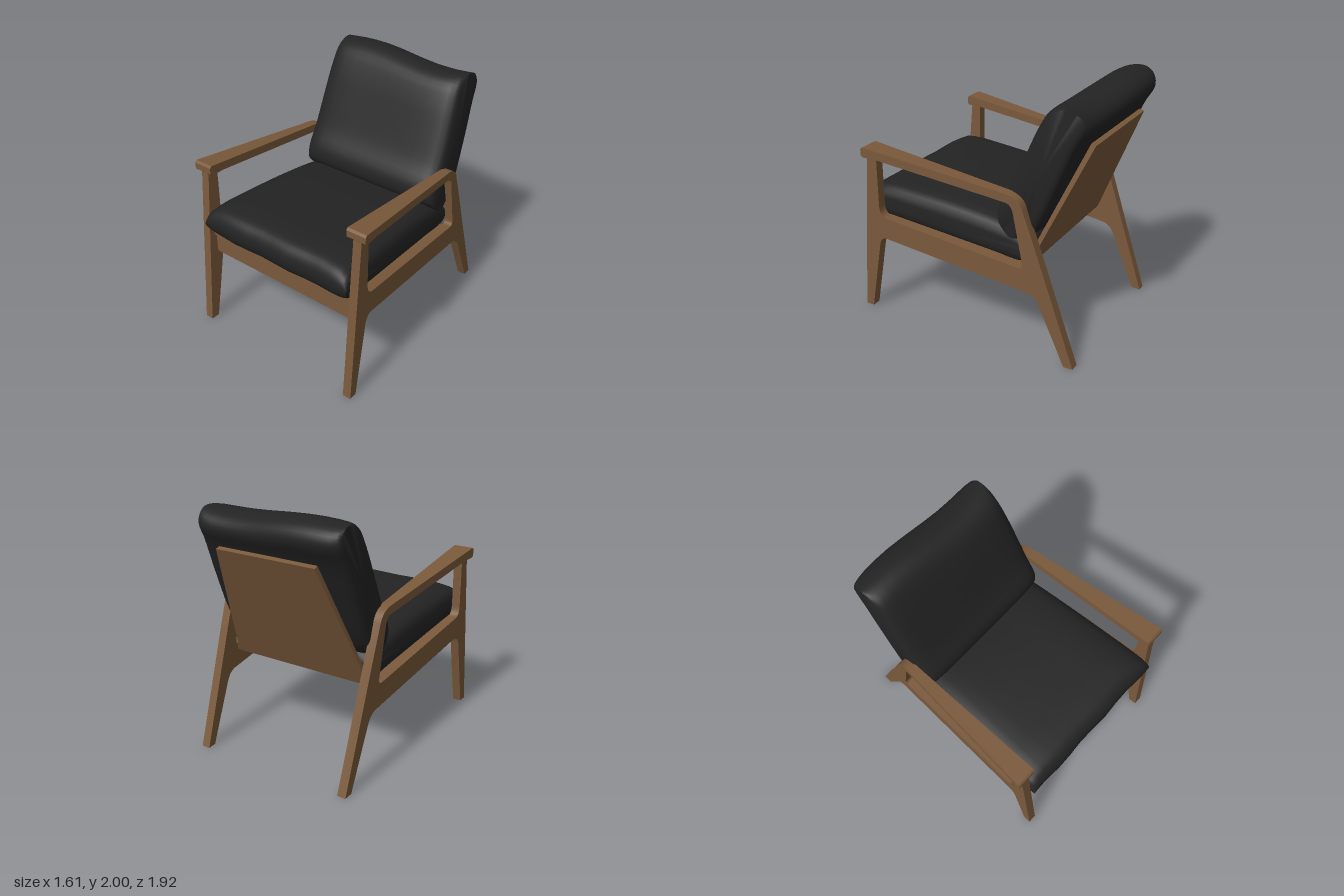
import * as THREE from 'three';
import { toCreasedNormals } from 'three/addons/utils/BufferGeometryUtils.js';

const wood = new THREE.MeshStandardMaterial({ color: 0x7a593b });
wood.name = 'walnut wood';
const fabric = new THREE.MeshStandardMaterial({ color: 0x232323 });
fabric.name = 'black fabric';

// Centre of the splayed side frames at depth z (they converge to the back)
const frameX = z => 0.64 + (z + 0.93) * 0.048;

// Side outline from [z, y] corners; four numbers make a quadratic curve
function outline(points, Type = THREE.Shape) {
  const s = new Type();
  points.forEach((p, i) => {
    if (i === 0) s.moveTo(-p[0], p[1]);
    else if (p.length === 4) s.quadraticCurveTo(-p[0], p[1], -p[2], p[3]);
    else s.lineTo(-p[0], p[1]);
  });
  s.closePath();
  return s;
}

// Extrude a side outline across x, with a centre and half width that vary
function sidePart(name, shape, halfWidth, centre = () => 0) {
  const geo = new THREE.ExtrudeGeometry(shape, { depth: 1, bevelEnabled: false, curveSegments: 7 });
  const pos = geo.attributes.position;
  for (let i = 0; i < pos.count; i++) {
    const z = -pos.getX(i), y = pos.getY(i), t = pos.getZ(i) * 2 - 1;
    pos.setXYZ(i, centre(z) + t * halfWidth(z, y), y, z);
  }
  const mesh = new THREE.Mesh(toCreasedNormals(geo, 0.6), wood);
  mesh.name = name;
  return mesh;
}

// Cushion: a closed [z, y] profile lofted across x, thinning towards its sides.
// The profile runs up the front, back over the top and down the rear.
function cushion(name, profile, spine, edge, shape) {
  const ring = new THREE.CatmullRomCurve3(
    profile.map(([z, y]) => new THREE.Vector3(0, y, z)), true, 'centripetal').getPoints(56).slice(0, -1);
  const line = new THREE.Line3(...spine.map(([z, y]) => new THREE.Vector3(0, y, z)));
  const half = [[1, 0], [0.985, 0.4], [0.95, 0.65], [0.88, 0.85], [0.77, 0.95], [0.6, 1], [0.4, 1], [0.2, 1]];
  const sections = [...half.map(([s, k]) => [-s, k]), [0, 1], ...half.slice().reverse()];
  const n = ring.length, verts = [], index = [], q = new THREE.Vector3();
  for (const [s, k] of sections) {
    for (const p of ring) {
      line.closestPointToPoint(p, false, q);
      q.lerp(p, edge + (1 - edge) * k);
      verts.push(...shape(s, q.y, q.z));
    }
  }
  for (let i = 0; i < sections.length - 1; i++) {
    for (let j = 0; j < n; j++) {
      const a = i * n + j, b = i * n + (j + 1) % n;
      index.push(a, a + n, b, b, a + n, b + n);
    }
  }
  // Side caps
  const mid = line.getCenter(new THREE.Vector3());
  const first = verts.length / 3, last = (sections.length - 1) * n;
  verts.push(...shape(-1, mid.y, mid.z), ...shape(1, mid.y, mid.z));
  for (let j = 0; j < n; j++) {
    const k = (j + 1) % n;
    index.push(first, j, k, first + 1, last + k, last + j);
  }
  const geo = new THREE.BufferGeometry();
  geo.setAttribute('position', new THREE.Float32BufferAttribute(verts, 3));
  geo.setIndex(index);
  const mesh = new THREE.Mesh(toCreasedNormals(geo, 0.9), fabric);
  mesh.name = name;
  return mesh;
}

export function createModel() {
  const chair = new THREE.Group();
  chair.name = 'loungeChair';

  // Side frame: front leg, rail and rear leg in one piece around an opening
  const frame = outline([
    [0.96, 0], [0.89, 0], [0.77, 0.61], [0.755, 0.68, 0.70, 0.677],
    [-0.54, 0.553], [-0.61, 0.545, -0.645, 0.47], [-0.855, 0], [-0.93, 0],
    [-0.60, 0.95], [-0.50, 1.225], [-0.47, 1.30, -0.38, 1.305], [0.825, 1.43],
  ]);
  frame.holes.push(outline([
    [0.745, 1.385], [0.752, 0.95], [0.75, 0.868, 0.69, 0.86], [-0.46, 0.743],
    [-0.515, 0.735, -0.505, 0.79], [-0.425, 1.20], [-0.41, 1.255, -0.37, 1.26],
  ], THREE.Path));

  // Armrest: wide at the front, narrowing into the bend of the rear leg
  const arm = outline([
    [0.835, 1.365], [0.85, 1.38], [0.85, 1.43], [0.835, 1.446],
    [-0.36, 1.315], [-0.47, 1.305, -0.503, 1.22], [-0.428, 1.19],
    [-0.41, 1.245, -0.36, 1.248], [0.72, 1.365],
  ]);
  const armHalf = z => 0.036 + 0.044 * THREE.MathUtils.clamp((z + 0.45) / 1.28, 0, 1);

  for (const [side, label] of [[1, 'left'], [-1, 'right']]) {
    const centre = z => side * frameX(z);
    chair.add(sidePart(label + 'Frame', frame, () => 0.035, centre));
    chair.add(sidePart(label + 'Armrest', arm, armHalf, centre));
  }

  // Front rail, seat board and tapered back panel
  const between = z => frameX(z) - 0.03;
  chair.add(sidePart('frontRail',
    outline([[0.82, 0.635], [0.82, 0.79], [0.77, 0.79], [0.77, 0.635]]), between));
  chair.add(sidePart('seatBoard',
    outline([[0.835, 0.802], [0.835, 0.835], [-0.49, 0.725], [-0.48, 0.692]]), between));
  chair.add(sidePart('backPanel',
    outline([[-0.465, 0.715], [-0.882, 1.70], [-0.918, 1.688], [-0.495, 0.70]]),
    (z, y) => 0.605 - 0.185 * (y - 0.7)));

  // Seat cushion, narrowing to the back with the frames
  chair.add(cushion('seatCushion', [
    [0.87, 0.85], [0.91, 0.92], [0.91, 1.01], [0.86, 1.08], [0.74, 1.105], [0.5, 1.10],
    [0.1, 1.075], [-0.25, 1.03], [-0.44, 0.98], [-0.51, 0.90], [-0.5, 0.79], [-0.46, 0.735],
    [-0.2, 0.755], [0.3, 0.80], [0.7, 0.835],
  ], [[0.9, 0.93], [-0.5, 0.81]], 0.45,
  (s, y, z) => [s * (frameX(z) - 0.037), y, z + 0.006 * Math.sin(s * 9)]));

  // Back cushion leaning on the panel, with an uneven top edge
  chair.add(cushion('backCushion', [
    [-0.30, 0.98], [-0.23, 1.06], [-0.235, 1.17], [-0.33, 1.33], [-0.44, 1.57], [-0.55, 1.81],
    [-0.64, 1.95], [-0.74, 2.0], [-0.85, 1.99], [-0.935, 1.94], [-0.96, 1.86],
    [-0.88, 1.71], [-0.74, 1.37], [-0.59, 1.03], [-0.50, 0.95], [-0.39, 0.93],
  ], [[-0.41, 1.05], [-0.8, 1.93]], 0.6,
  (s, y, z) => {
    const w = THREE.MathUtils.clamp((y - 0.95) / 1.05, 0, 1) ** 2;
    const x = s * (0.64 - 0.037 * w) - 0.015 * w;
    const wave = 0.022 * (1 + Math.sin(x * 4.5)) * w;
    return [x, y - wave, z + wave];
  }));

  return chair;
}
